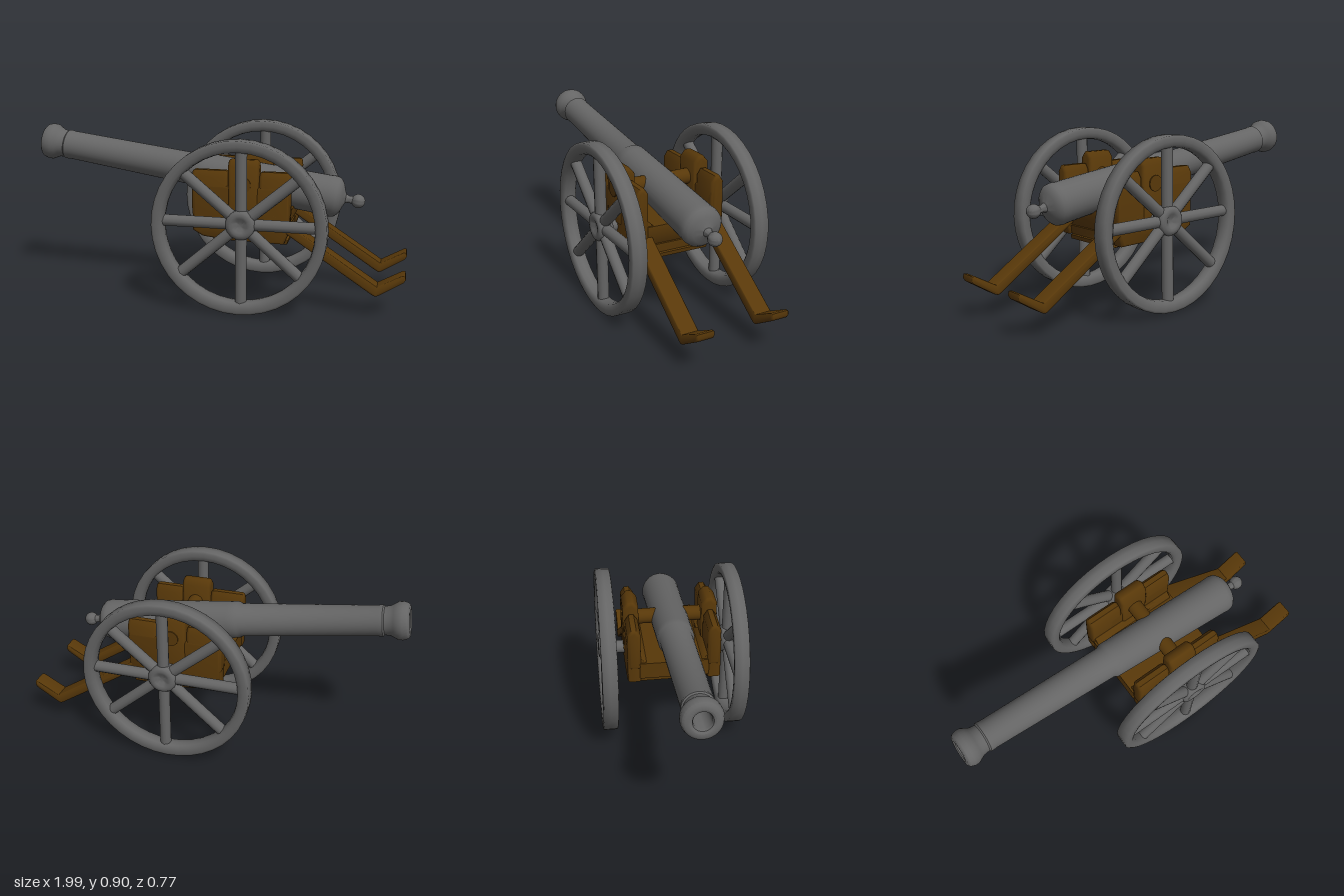
import * as THREE from 'three';
import { toCreasedNormals } from 'three/addons/utils/BufferGeometryUtils.js';

const metal = new THREE.MeshStandardMaterial({ color: 0x656565 });
const wood = new THREE.MeshStandardMaterial({ color: 0x583809 });

function part(parent, name, geometry, material, x = 0, y = 0, z = 0) {
  const mesh = new THREE.Mesh(geometry, material);
  mesh.name = name;
  mesh.position.set(x, y, z);
  parent.add(mesh);
  return mesh;
}

// Profile of [radius, distance along axis] turned around y
function turned(points, sides, crease = 0.6) {
  return toCreasedNormals(new THREE.LatheGeometry(points.map(p => new THREE.Vector2(...p)), sides), crease);
}

// Outline extruded to a total depth, centred on z, edges rounded inside the outline
function slab(points, depth, bevel = 0.014) {
  const geometry = new THREE.ExtrudeGeometry(new THREE.Shape(points.map(p => new THREE.Vector2(...p))), {
    depth: depth - 2 * bevel, bevelThickness: bevel, bevelSize: bevel, bevelOffset: -bevel, bevelSegments: 3,
  });
  geometry.translate(0, 0, bevel - depth / 2);
  return toCreasedNormals(geometry, 0.9);
}

function addBarrel(parent) {
  const knob = [];
  for (let i = 0; i <= 8; i++) {
    const a = -0.95 + (Math.PI / 2 + 0.95) * i / 8;
    knob.push([Math.max(0, 0.036 * Math.cos(a)), 1.743 + 0.036 * Math.sin(a)]);
  }
  const profile = [
    // bore
    [0, 0.3], [0.042, 0.3], [0.042, 0.018], [0.047, 0.006],
    // muzzle swell
    [0.058, 0], [0.078, 0.002], [0.09, 0.012], [0.097, 0.035], [0.096, 0.058], [0.085, 0.078], [0.076, 0.095],
    [0.072, 0.125], [0.079, 0.132], [0.079, 0.15],
    // chase and reinforce
    [0.077, 0.16], [0.086, 0.86], [0.096, 0.88], [0.097, 0.93], [0.106, 1.58], [0.108, 1.61],
    // breech and neck
    [0.104, 1.632], [0.09, 1.648], [0.07, 1.66], [0.045, 1.668], [0.024, 1.678], [0.018, 1.695],
    ...knob,
  ];
  const barrel = part(parent, 'barrel', turned(profile, 32), metal, -0.985, 0.80, 0.014);
  barrel.rotation.z = -Math.PI / 2 - 0.149;
}

function addWheel(parent, name, z) {
  const wheel = new THREE.Group();
  wheel.name = name;
  wheel.position.set(0.175, 0.45, z);
  parent.add(wheel);
  const hub = { x: 0.013, y: 0.022 };

  // rim, softly rounded all round
  const rim = part(wheel, 'rim', turned([
    [0.415, -0.041], [0.434, -0.041], [0.445, -0.037], [0.446, 0], [0.445, 0.037], [0.434, 0.041], [0.415, 0.041],
    [0.398, 0.038], [0.386, 0.028], [0.382, 0], [0.386, -0.028], [0.398, -0.038], [0.415, -0.041],
  ], 40, 1.6), metal);
  rim.rotation.x = Math.PI / 2;

  // hub, with a dimple on both faces
  const hubMesh = part(wheel, 'hub', turned([
    [0, -0.025], [0.02, -0.026], [0.036, -0.038], [0.05, -0.041], [0.066, -0.038], [0.075, -0.026],
    [0.075, 0.026], [0.066, 0.038], [0.05, 0.041], [0.036, 0.038], [0.02, 0.026], [0, 0.025],
  ], 24, 1), metal, hub.x, hub.y);
  hubMesh.rotation.x = Math.PI / 2;

  // spokes run from the hub out into the rim
  for (const degrees of [0, 40, 90, 140, 180, 221, 270, 319]) {
    const a = degrees * Math.PI / 180;
    const c = Math.cos(a), s = Math.sin(a);
    const along = hub.x * c + hub.y * s;
    const reach = -along + Math.sqrt(along * along + 0.4 ** 2 - hub.x ** 2 - hub.y ** 2);
    const length = reach - 0.05;
    const middle = 0.05 + length / 2;
    const spoke = part(wheel, 'spoke', new THREE.CylinderGeometry(0.03, 0.03, length, 12, 1, true), metal,
      hub.x + c * middle, hub.y + s * middle, 0);
    spoke.rotation.z = a - Math.PI / 2;
  }
}

function addCarriage(parent) {
  const carriage = new THREE.Group();
  carriage.name = 'carriage';
  carriage.position.z = 0.01;
  parent.add(carriage);

  // bed between the cheeks, with stepped planks beneath
  part(carriage, 'bed', slab([
    [-0.085, 0.42], [-0.05, 0.4], [0.37, 0.385], [0.415, 0.46], [0.415, 0.512], [-0.085, 0.512],
  ], 0.38), wood);
  part(carriage, 'middlePlank', slab([[-0.045, 0.378], [0.385, 0.352], [0.39, 0.4], [-0.045, 0.42]], 0.36, 0.008), wood);
  part(carriage, 'lowerPlank', slab([[0.02, 0.352], [0.395, 0.33], [0.4, 0.352], [0.02, 0.39]], 0.34, 0.006), wood);

  // top blocks: [centre x, length, top y, width]
  const blocks = [[0.006, 0.19, 0.715, 0.07], [0.18, 0.16, 0.774, 0.084], [0.339, 0.16, 0.715, 0.07]];

  for (const side of [1, -1]) {
    const prefix = side > 0 ? 'left' : 'right';
    part(carriage, prefix + 'Cheek', slab([
      [-0.083, 0.4], [-0.03, 0.37], [0.1, 0.355], [0.39, 0.35], [0.416, 0.42], [0.416, 0.64], [-0.083, 0.64],
    ], 0.072), wood, 0, 0, side * 0.213);

    for (const [x, length, top, width] of blocks) {
      const h = width / 2;
      const block = part(carriage, prefix + 'CheekBlock', slab([
        [-h, 0.48], [h, 0.48], [h, top - 0.032], [0.014, top], [-0.014, top], [-h, top - 0.032],
      ], length, 0.018), wood, x, 0, side * 0.212);
      block.rotation.y = Math.PI / 2;
    }

    // fillet where the cheek meets the bed
    const fillet = part(carriage, prefix + 'Fillet', slab([[0, 0.5], [0.06, 0.5], [0.053, 0.512], [0.022, 0.542], [0, 0.542]], 0.48, 0.004),
      wood, 0.165, 0, side * 0.2);
    fillet.rotation.y = side * Math.PI / 2;

    // sloping trail with its turned-up foot
    part(carriage, prefix + 'Trail', slab([
      [0.2, 0.54], [0.39, 0.415], [0.84, 0.118], [0.855, 0.112], [0.87, 0.117], [0.99, 0.193], [1, 0.21], [0.996, 0.232],
      [0.98, 0.23], [0.862, 0.164], [0.43, 0.445], [0.3, 0.54],
    ], 0.094, 0.008), wood, 0, 0, side * 0.202);
  }

  const trunnion = part(carriage, 'trunnion', new THREE.CylinderGeometry(0.041, 0.041, 0.52, 20), wood, 0.18, 0.65, 0);
  trunnion.rotation.x = Math.PI / 2;
}

export function createModel() {
  const model = new THREE.Group();
  model.name = 'fieldCannon';
  addBarrel(model);
  addCarriage(model);

  // axle and wheels share a slight roll
  const runningGear = new THREE.Group();
  runningGear.name = 'runningGear';
  runningGear.rotation.x = 0.012;
  model.add(runningGear);
  const axle = part(runningGear, 'axle', new THREE.CylinderGeometry(0.035, 0.035, 0.64, 20), metal, 0.18, 0.46, 0);
  axle.rotation.x = Math.PI / 2;
  addWheel(runningGear, 'leftWheel', 0.334);
  addWheel(runningGear, 'rightWheel', -0.346);
  return model;
}
